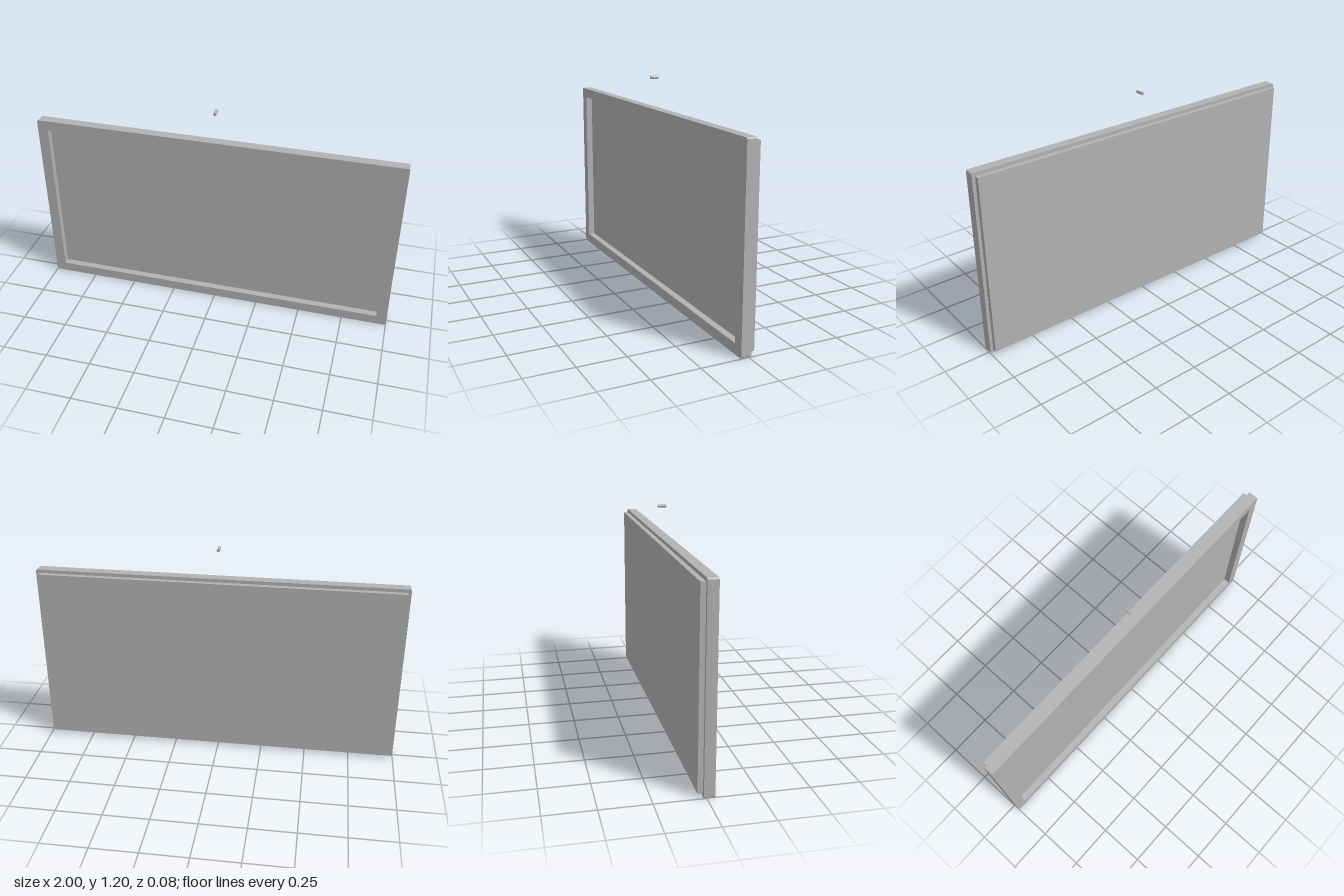
import * as THREE from 'three';

const W = 2, H = 1.03, CY = H / 2, C = 0.007;

// Rectangle outline centred on the origin, with corners cut by c
function outline(w, h, c) {
  const x = w / 2, y = h / 2;
  return [
    [x - c, -y], [x, c - y], [x, y - c], [x - c, y],
    [c - x, y], [-x, y - c], [-x, c - y], [c - x, -y],
  ].map(([px, py]) => new THREE.Vector2(px, py));
}

export function createModel() {
  const group = new THREE.Group();
  const grey = new THREE.MeshStandardMaterial({ color: 0xb2b2b2 });
  grey.name = 'plain grey';

  const add = (name, geometry, x, y, z) => {
    const mesh = new THREE.Mesh(geometry, grey);
    mesh.name = name;
    mesh.position.set(x, y, z);
    group.add(mesh);
    return mesh;
  };

  // Frame: border with a rectangular opening and tiny cut corners
  const shape = new THREE.Shape(outline(W, H, C));
  const x = 0.943, y = 0.46;
  shape.holes.push(new THREE.Path([
    new THREE.Vector2(-x, -y), new THREE.Vector2(-x, y),
    new THREE.Vector2(x, y), new THREE.Vector2(x, -y),
  ]));
  add('frame', new THREE.ExtrudeGeometry(shape, { depth: 0.054, bevelEnabled: false }), 0, CY, -0.014);

  // Screen, set back inside the opening
  add('screen', new THREE.BoxGeometry(2 * x, 2 * y, 0.017), 0, CY, -0.0055);

  // Backing panel, slightly smaller than the frame
  add('backPanel', new THREE.BoxGeometry(1.966, 0.993, 0.026), 0, CY, -0.027);

  // Small pin above the frame, lying front to back
  const pin = new THREE.CylinderGeometry(0.009, 0.009, 0.044, 8).toNonIndexed();
  pin.computeVertexNormals();
  add('hangingPin', pin, 0, 1.191, 0.004).rotation.x = Math.PI / 2;

  return group;
}
